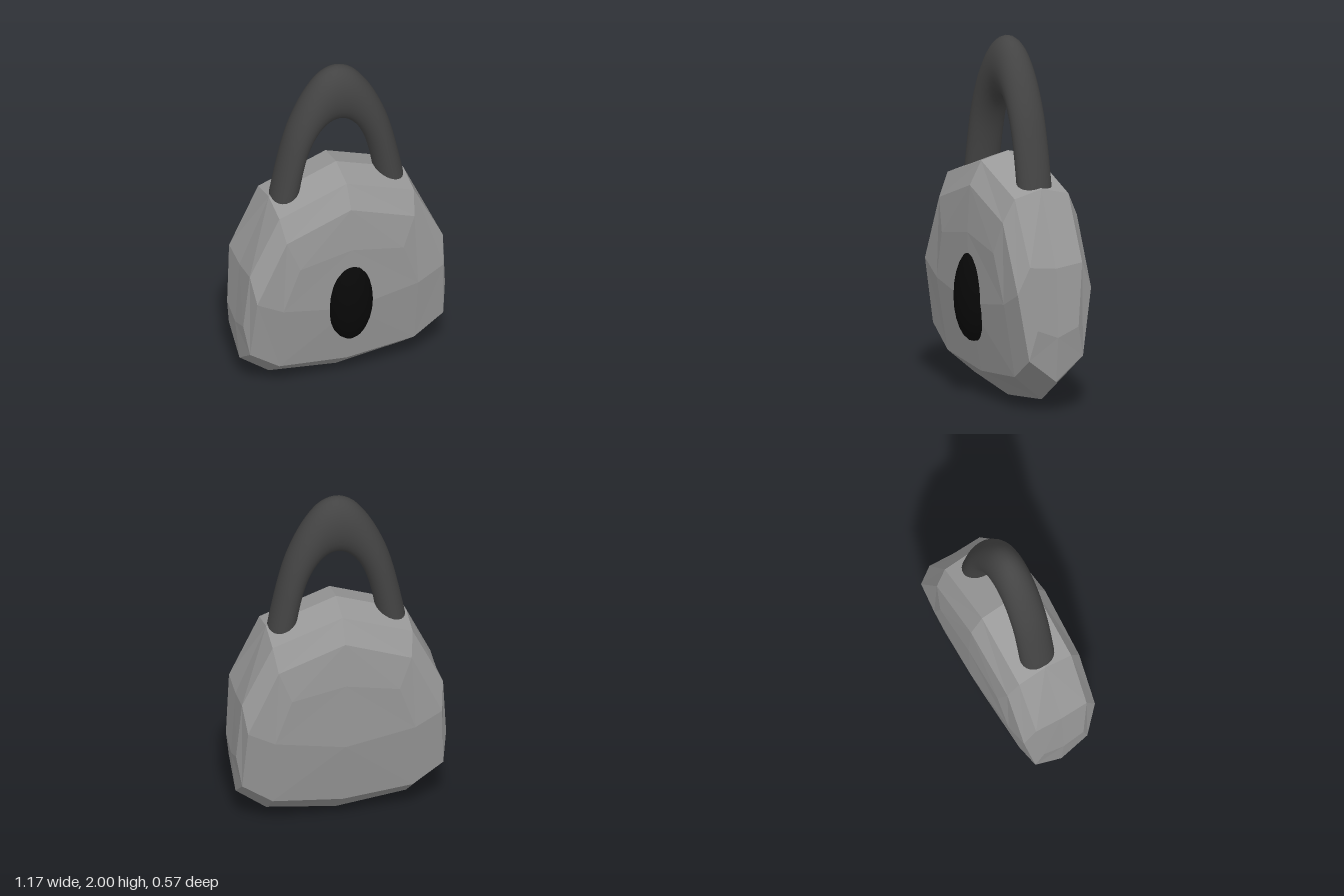
import * as THREE from 'three';

const MID_Z = -0.035;

// Faceted body: one quarter (left half of the front), mirrored across x and z
function bodyGeometry() {
  const v = {
    ridgeTop: [0, 1.36, 0], ridgeShoulder: [0.39, 1.22, 0],
    ridgeHip: [0.56, 0.81, 0], ridgeSide: [0.585, 0.43, 0],
    ridgeLow: [0.56, 0.18, 0], ridgeFoot: [0.39, 0.05, 0], ridgeBottom: [0, 0, 0],
    top: [0, 1.32, 0.165], shoulder: [0.39, 1.18, 0.165],
    hip: [0.56, 0.83, 0.16], side: [0.585, 0.48, 0.125], low: [0.56, 0.31, 0.165],
    foot: [0.39, 0.19, 0.165], bottom: [0, 0.15, 0.165],
    brow: [0, 1.19, 0.235], browCorner: [0.37, 1.05, 0.228], edge: [0.54, 0.68, 0.225],
    chest: [0, 0.93, 0.25], chestCorner: [0.3, 0.87, 0.248],
    belly: [0, 0.53, 0.237], bellyCorner: [0.39, 0.6, 0.232],
  };
  // Corners run counter-clockwise seen from outside
  const quads = [
    'ridgeTop top shoulder ridgeShoulder',
    'ridgeShoulder shoulder hip ridgeHip',
    'ridgeHip hip side ridgeSide',
    'ridgeSide side low ridgeLow',
    'ridgeLow low foot ridgeFoot',
    'ridgeFoot foot bottom ridgeBottom',
    'hip edge low side',
    'top brow browCorner shoulder',
    'shoulder browCorner edge hip',
    'brow chest chestCorner browCorner',
    'browCorner chestCorner bellyCorner edge',
    'chest belly bellyCorner chestCorner',
    'belly bottom foot bellyCorner',
    'edge bellyCorner foot low',
  ].map((q) => q.split(' '));
  const positions = [];
  for (const sx of [1, -1]) for (const sz of [1, -1]) {
    for (const q of quads) {
      const c = q.map((n) => [v[n][0] * sx, v[n][1], v[n][2] * sz]);
      const order = sx * sz > 0 ? [0, 1, 2, 0, 2, 3] : [0, 2, 1, 0, 3, 2];
      for (const i of order) positions.push(...c[i]);
    }
  }
  const g = new THREE.BufferGeometry();
  g.setAttribute('position', new THREE.Float32BufferAttribute(positions, 3));
  g.computeVertexNormals();
  return g;
}

// Arch swept between an outer and an inner outline, with oval sections
function shackleGeometry(steps = 40, sides = 24) {
  const arch = (half) => {
    const left = half.map(([x, y]) => new THREE.Vector3(x, y, 0));
    const right = half.slice(0, -1).reverse().map(([x, y]) => new THREE.Vector3(-x, y, 0));
    return new THREE.CatmullRomCurve3([...left, ...right]);
  };
  const outer = arch([[0.395, 1.12], [0.381, 1.22], [0.307, 1.56], [0.255, 1.71],
    [0.175, 1.865], [0.085, 1.97], [0, 2]]);
  const inner = arch([[0.24, 1.1], [0.228, 1.2], [0.19, 1.405], [0.152, 1.52],
    [0.105, 1.6], [0.05, 1.648], [0, 1.66]]);
  const positions = [], index = [];
  for (let i = 0; i <= steps; i++) {
    const a = outer.getPoint(i / steps), b = inner.getPoint(i / steps);
    for (let j = 0; j < sides; j++) {
      const t = (j / sides) * Math.PI * 2;
      const p = b.clone().lerp(a, 0.5 + 0.5 * Math.cos(t));
      positions.push(p.x, p.y, 0.1 * Math.sin(t));
      if (i < steps) {
        const k = (j + 1) % sides, r = i * sides, s = r + sides;
        index.push(r + j, s + j, r + k, r + k, s + j, s + k);
      }
    }
  }
  const g = new THREE.BufferGeometry();
  g.setAttribute('position', new THREE.Float32BufferAttribute(positions, 3));
  g.setIndex(index);
  g.computeVertexNormals();
  return g;
}

export function createModel() {
  const group = new THREE.Group();
  group.name = 'padlock';
  const add = (name, geometry, options, z) => {
    const mesh = new THREE.Mesh(geometry, new THREE.MeshStandardMaterial(options));
    mesh.name = name;
    mesh.position.z = z;
    group.add(mesh);
    return mesh;
  };

  add('body', bodyGeometry(), { color: 0x999999, flatShading: true }, MID_Z);
  add('shackle', shackleGeometry(), { color: 0x444444, side: THREE.DoubleSide }, MID_Z);

  // Domed keyhole on the front
  const keyhole = add('keyhole', new THREE.SphereGeometry(1, 16, 12), { color: 0x080808 }, 0.175);
  keyhole.scale.set(0.13, 0.255, 0.107);
  keyhole.position.y = 0.575;
  return group;
}
